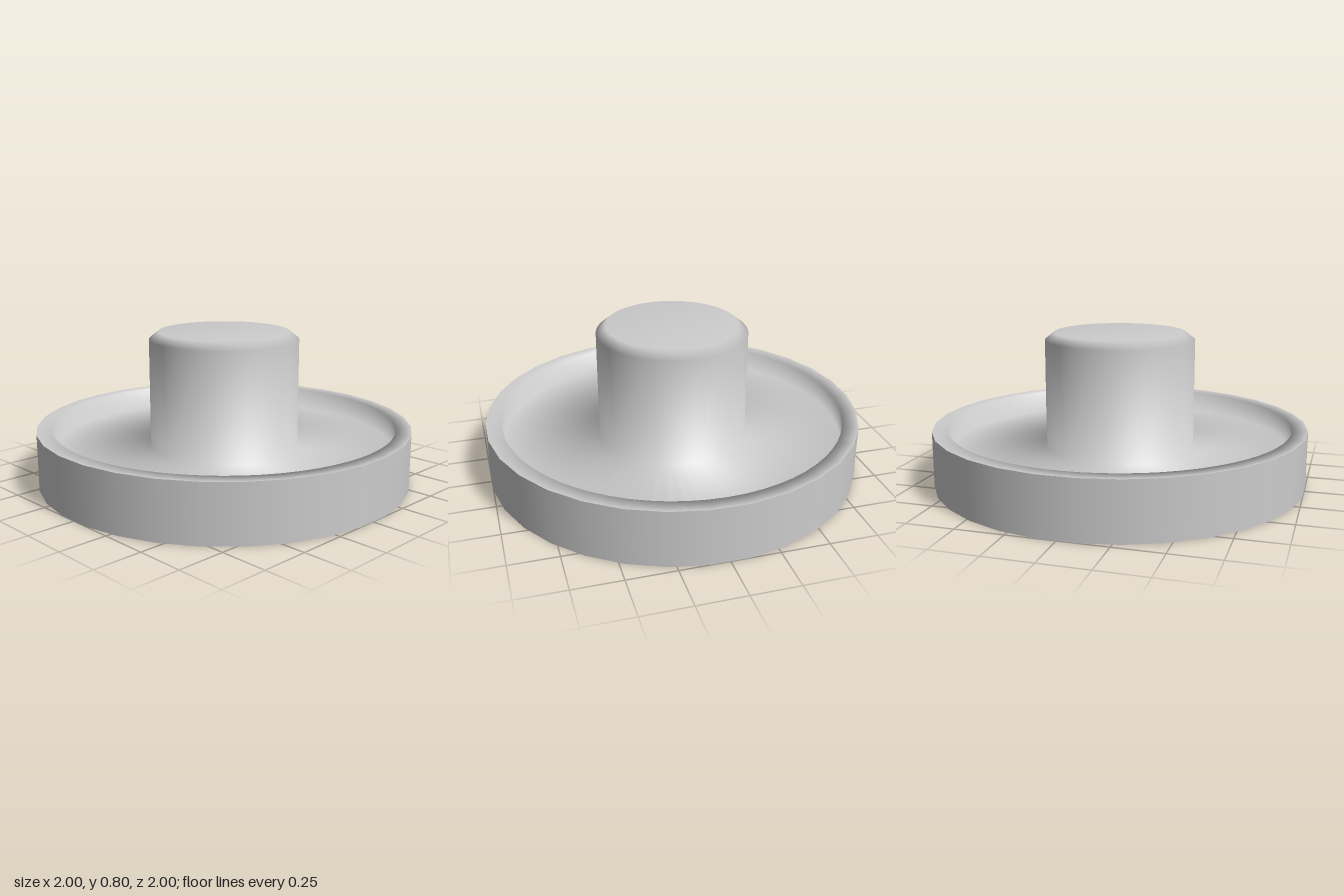
import * as THREE from 'three';

const material = new THREE.MeshStandardMaterial({ color: 0xcccccc });
const RIM_SIDES = 32;
const R = 1 / Math.cos(Math.PI / RIM_SIDES); // flats of the rim lie at radius 1

// Revolve a list of [radius, height] points, listed so the outside faces out
function revolve(name, profile, sides) {
  const points = profile.map(([r, y]) => new THREE.Vector2(r, y));
  const mesh = new THREE.Mesh(new THREE.LatheGeometry(points, sides, Math.PI / RIM_SIDES), material);
  mesh.name = name;
  return mesh;
}

export function createModel() {
  const group = new THREE.Group();
  group.name = 'knobbedDish';

  // Flat underside and straight outer wall
  group.add(revolve('underside', [[0, 0], [R, 0]], RIM_SIDES));
  group.add(revolve('outerWall', [[R, 0], [R, 0.3]], RIM_SIDES));

  // Flat lip, upright inner wall, level floor and chamfered central knob
  const profile = [[R, 0.3], [0.92, 0.3], [0.92, 0.18], [0.4, 0.18], [0.4, 0.76], [0.35, 0.8], [0, 0.8]];
  const inside = revolve('lipFloorAndKnob', profile, RIM_SIDES * 2);

  // Pull every second lip vertex in so the lip meets the flats of the outer wall
  const position = inside.geometry.attributes.position;
  for (let column = 1; column < RIM_SIDES * 2; column += 2) {
    const i = column * profile.length;
    position.setXYZ(i, position.getX(i) / R, position.getY(i), position.getZ(i) / R);
  }
  group.add(inside);

  return group;
}
